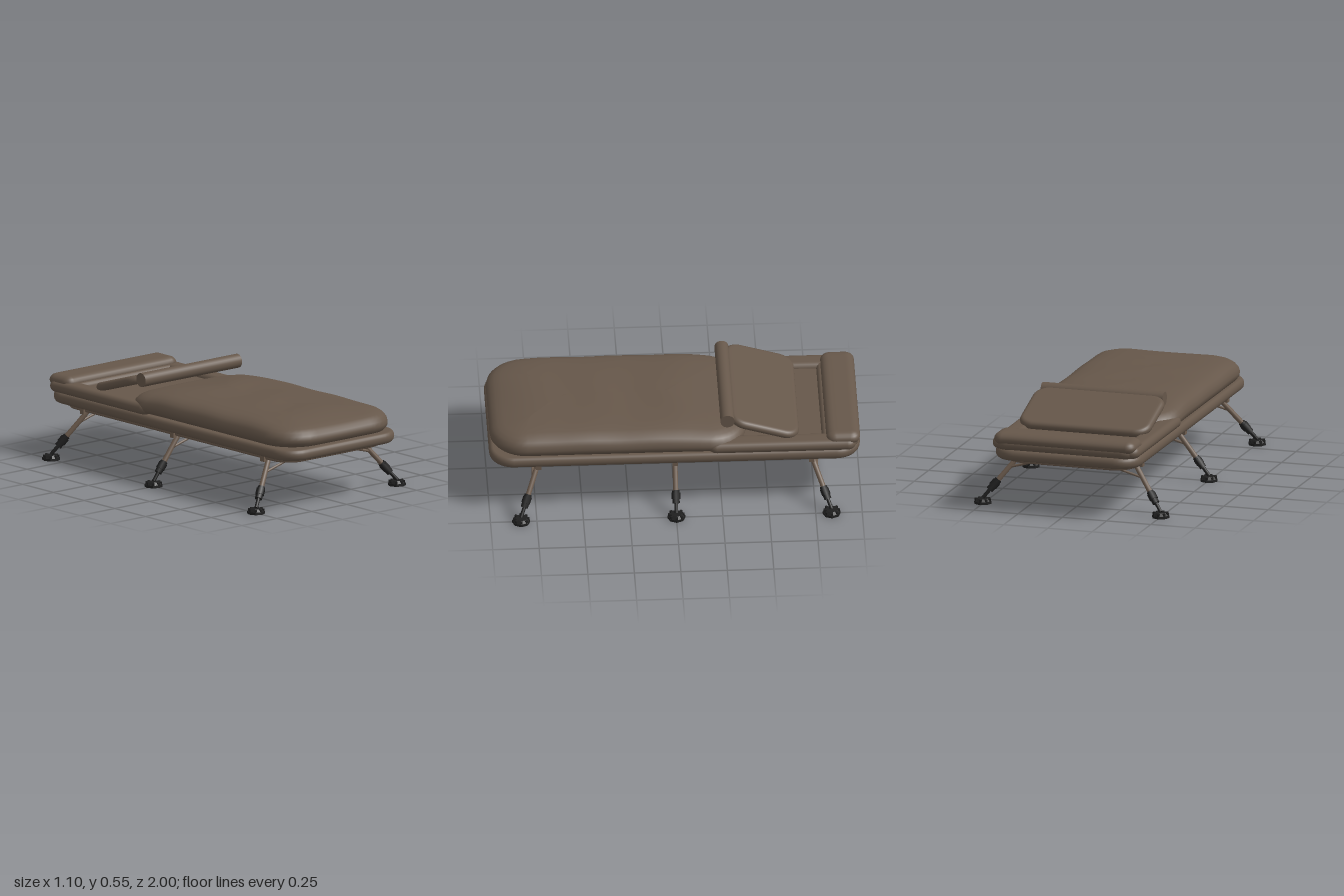
import * as THREE from 'three';

const fabric = new THREE.MeshStandardMaterial({ color: 0x66574a });
fabric.name = 'brown fabric';
const metal = new THREE.MeshStandardMaterial({ color: 0x6d5c4e });
metal.name = 'brown metal';
const rubber = new THREE.MeshStandardMaterial({ color: 0x1e1e1e });
rubber.name = 'black rubber';

// Rounded rectangle in plan, inset by d; every inset gives the same point count
function outline(hx, hz, r, d = 0) {
  const w = hx - d, l = hz - d;
  const rad = Math.max(0, Math.min(Math.max(r - d, 0.004), w, l));
  const pts = [], n = 8, m = 18;
  const signs = [[1, 1], [-1, 1], [-1, -1], [1, -1]];
  for (let k = 0; k < 4; k++) {
    for (let i = 0; i <= n; i++) {
      const a = (k + i / n) * Math.PI / 2;
      pts.push([signs[k][0] * (w - rad) + rad * Math.cos(a), signs[k][1] * (l - rad) + rad * Math.sin(a)]);
    }
    // straight side up to the next corner
    const p = pts[pts.length - 1], s = signs[(k + 1) % 4], a = (k + 1) * Math.PI / 2;
    const q = [s[0] * (w - rad) + rad * Math.cos(a), s[1] * (l - rad) + rad * Math.sin(a)];
    for (let i = 1; i < m; i++) pts.push([p[0] + (q[0] - p[0]) * i / m, p[1] + (q[1] - p[1]) * i / m]);
  }
  return pts;
}

// Closed cushion from a profile of [inset, y] pairs, bottom to top
function cushion(hx, hz, r, profile, rule) {
  const pos = [], idx = [];
  const rings = profile.map(([d, y]) => outline(hx, hz, r, d).map(([x, z]) => [x, y, z]));
  const n = rings[0].length;
  rings.forEach((ring) => ring.forEach((p) => pos.push(...(rule ? rule(...p) : p))));
  for (let i = 0; i < rings.length - 1; i++) {
    for (let j = 0; j < n; j++) {
      const a = i * n + j, b = i * n + (j + 1) % n;
      idx.push(a, a + n, b, b, a + n, b + n);
    }
  }
  const g = new THREE.BufferGeometry();
  g.setAttribute('position', new THREE.Float32BufferAttribute(pos, 3));
  g.setIndex(idx);
  g.computeVertexNormals();
  return g;
}

// Profile with rounded edges of depth e between heights y0 and y1
function roundEdge(y0, y1, e, mid) {
  const p = [[mid, y0], [e * 1.6, y0]];
  for (let i = 0; i <= 10; i++) {
    const a = -Math.PI / 2 + Math.PI * i / 10;
    p.push([e * (1 - Math.cos(a)), (y0 + y1) / 2 + (y1 - y0) / 2 * Math.sin(a)]);
  }
  p.push([e * 1.6, y1], [mid, y1]);
  return p;
}

function add(parent, name, geometry, material, x = 0, y = 0, z = 0) {
  const m = new THREE.Mesh(geometry, material);
  m.name = name;
  m.position.set(x, y, z);
  parent.add(m);
  return m;
}

function rod(parent, name, a, b, r, material, sides = 12) {
  const from = new THREE.Vector3(...a), to = new THREE.Vector3(...b);
  const dir = to.clone().sub(from);
  const m = add(parent, name, new THREE.CylinderGeometry(r, r, dir.length(), sides), material);
  m.position.copy(from).add(to).multiplyScalar(0.5);
  m.quaternion.setFromUnitVectors(new THREE.Vector3(0, 1, 0), dir.normalize());
  return m;
}

function flat(g) {
  const f = g.toNonIndexed();
  f.computeVertexNormals();
  return f;
}

function leg(side, end) {
  const g = new THREE.Group();
  g.name = 'leg';
  const top = [side * 0.325, 0.26, end * 0.735], foot = [side * 0.503, 0.03, end * 0.835];
  const at = (t) => top.map((v, i) => v + (foot[i] - v) * t);
  rod(g, 'upperLeg', at(0), at(0.7), 0.014, metal);
  rod(g, 'lowerLeg', at(0.6), at(1), 0.01, rubber);
  rod(g, 'legSleeve', at(0.58), at(0.82), 0.02, rubber, 8);
  rod(g, 'legLock', at(0.62), at(0.74), 0.024, rubber, 8);
  const joint = at(0.29);
  rod(g, 'strut', joint, [side * 0.12, 0.265, joint[2]], 0.007, metal, 8);
  add(g, 'bracket', new THREE.BoxGeometry(0.016, 0.04, 0.03), metal, side * 0.365, 0.268, end * 0.735);
  // Foot pad with a ring of small treads
  const [fx, , fz] = foot;
  add(g, 'footRim', flat(new THREE.CylinderGeometry(0.048, 0.049, 0.013, 8)), rubber, fx, 0.0065, fz);
  add(g, 'footDome', flat(new THREE.CylinderGeometry(0.032, 0.045, 0.015, 8)), rubber, fx, 0.02, fz);
  for (let i = 0; i < 8; i++) {
    const a = i * Math.PI / 4;
    const t = add(g, 'footTread', new THREE.BoxGeometry(0.014, 0.018, 0.012), rubber,
      fx + 0.037 * Math.cos(a), 0.018, fz + 0.037 * Math.sin(a));
    t.rotation.y = -a;
  }
  return g;
}

export function createModel() {
  const model = new THREE.Group();
  model.name = 'foldingBed';

  // Mattress and raised head end
  add(model, 'mattress', cushion(0.412, 0.998, 0.13, roundEdge(0.285, 0.345, 0.022, 0.412)), fabric);
  add(model, 'headPanel', cushion(0.33, 0.42, 0.03, roundEdge(0.335, 0.378, 0.02, 0.33)), fabric, 0, 0, -0.56);
  for (const s of [-1, 1]) {
    add(model, 'sideBolster', cushion(0.055, 0.4, 0.05, roundEdge(0.34, 0.402, 0.03, 0.055)), fabric, s * 0.36, 0, -0.575);
  }
  add(model, 'headBase', cushion(0.405, 0.1, 0.08, roundEdge(0.34, 0.4, 0.025, 0.1)), fabric, 0, 0, -0.89);
  add(model, 'pillow', cushion(0.4, 0.091, 0.05, roundEdge(0.365, 0.435, 0.045, 0.091)), fabric, 0, 0, -0.905);

  // Sleeping bag with a gently rumpled top that drops towards the head
  const bagProfile = [[0.41, 0.345], [0.06, 0.345], [0.018, 0.355], [0.003, 0.375], [0, 0.395], [0.006, 0.42],
    [0.022, 0.44], [0.045, 0.455], [0.08, 0.466], [0.14, 0.474], [0.22, 0.479], [0.32, 0.481], [0.41, 0.481]];
  const rumple = (x, y, z) => {
    const f = (y - 0.345) / 0.135;
    const drop = THREE.MathUtils.smoothstep(-z, 0.3, 0.7) * 0.035 + THREE.MathUtils.smoothstep(z, 0.35, 0.7) * 0.015;
    return [x, y + f * (0.004 * Math.sin(z * 17 + x * 4) * Math.cos(x * 6) - drop), z];
  };
  add(model, 'sleepingBag', cushion(0.41, 0.69, 0.2, bagProfile, rumple), fabric, 0, 0, 0.302);

  // Folded-back cover flap with its rolled edge
  const flap = add(model, 'coverFlap', cushion(0.37, 0.195, 0.085, roundEdge(-0.024, 0.024, 0.024, 0.195)), fabric, 0, 0.457, -0.482);
  flap.rotation.x = -0.3;
  const roll = add(model, 'coverRoll', new THREE.CylinderGeometry(0.038, 0.038, 0.69, 28), fabric, 0, 0.512, -0.283);
  roll.rotation.z = Math.PI / 2;

  // Tubular frame with cross bars
  const path = new THREE.CatmullRomCurve3(outline(0.35, 0.91, 0.11).map(([x, z]) => new THREE.Vector3(x, 0.272, z)), true);
  add(model, 'frameTube', new THREE.TubeGeometry(path, 240, 0.014, 10, true), metal);
  for (const z of [-0.3, 0.3]) rod(model, 'crossBar', [-0.35, 0.274, z], [0.35, 0.274, z], 0.01, metal);

  // Three pairs of legs
  for (const end of [-1, 0, 1]) for (const side of [-1, 1]) model.add(leg(side, end));
  return model;
}
